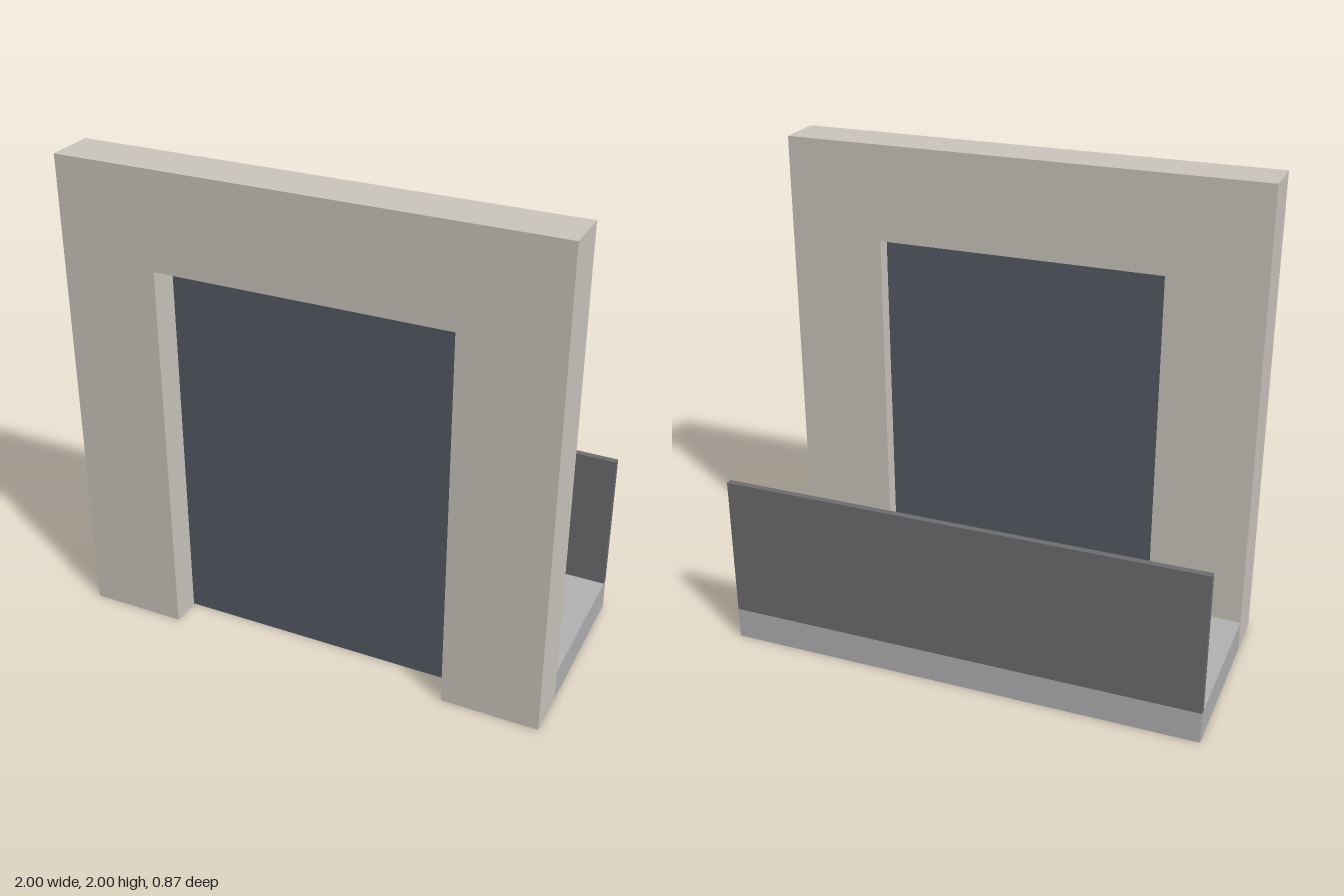
import * as THREE from 'three';

export function createModel() {
  const model = new THREE.Group();
  const front = 0.4333, wallBack = 0.2333, back = -0.4333;
  const slabTop = 0.1333, railTop = 0.7333;

  const add = (name, geometry, color) => {
    const mesh = new THREE.Mesh(geometry, new THREE.MeshStandardMaterial({ color }));
    mesh.name = name;
    model.add(mesh);
    return mesh;
  };
  // Box given by its lowest and highest corners
  const addBox = (name, [x0, y0, z0], [x1, y1, z1], color) =>
    add(name, new THREE.BoxGeometry(x1 - x0, y1 - y0, z1 - z0), color)
      .position.set((x0 + x1) / 2, (y0 + y1) / 2, (z0 + z1) / 2);

  // Wall with a door opening that reaches the floor
  const outline = new THREE.Shape([
    [-1, 0], [-0.6, 0], [-0.6, 1.6], [0.6, 1.6], [0.6, 0], [1, 0], [1, 2], [-1, 2],
  ].map(([x, y]) => new THREE.Vector2(x, y)));
  const wall = new THREE.ExtrudeGeometry(outline, { depth: front - wallBack, bevelEnabled: false });
  add('wall', wall.translate(0, 0, wallBack), 0xcbc7be);

  // Thin pane set back in the opening
  addBox('doorPane', [-0.6, 0, 0.2933], [0.6, 1.6, 0.3067], 0x565b64);

  // Balcony floor and the parapet along its outer edge
  addBox('balconySlab', [-1, 0, back], [1, slabTop, wallBack], 0xb2b2b2);
  addBox('parapet', [-1, slabTop, back], [1, railTop, back + 0.0267], 0x6e6e71);

  return model;
}
